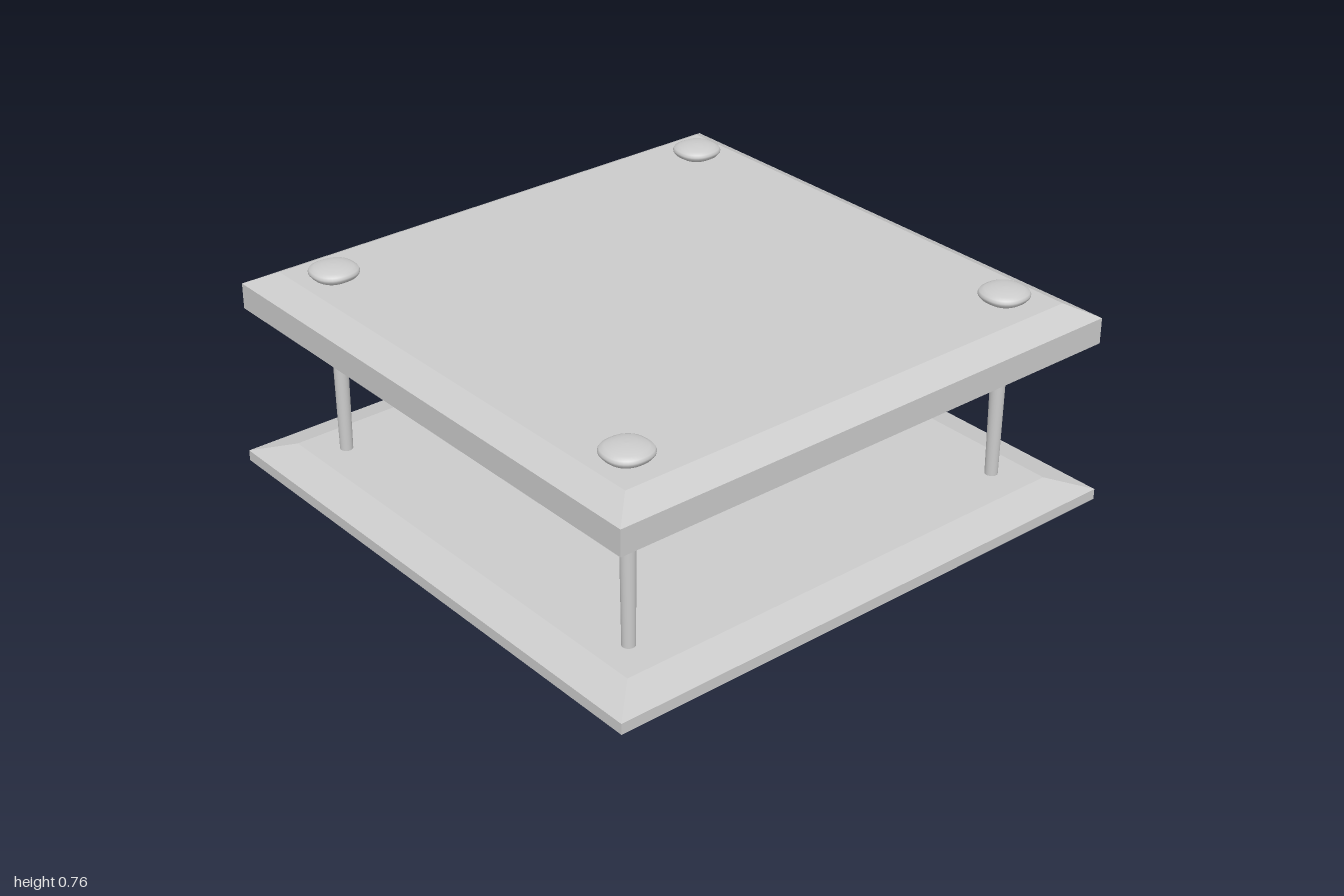
import * as THREE from 'three';

const smooth = new THREE.MeshStandardMaterial({ color: 0xcccccc });
const faceted = new THREE.MeshStandardMaterial({ color: 0xcccccc, flatShading: true });
const toPoints = (profile) => profile.map(([r, y]) => new THREE.Vector2(r, y));

// Square plate turned from a profile of [half width, height]
function plate(name, profile) {
  const points = toPoints(profile.map(([half, y]) => [half * Math.SQRT2, y]));
  const mesh = new THREE.Mesh(new THREE.LatheGeometry(points, 4, Math.PI / 4), faceted);
  mesh.name = name;
  return mesh;
}

// Domed cap with a slightly squared outline
function capGeometry() {
  const profile = [
    [0, 0.712], [0.058, 0.712], [0.071, 0.72], [0.079, 0.73], [0.08, 0.737],
    [0.076, 0.745], [0.062, 0.752], [0.04, 0.757], [0.02, 0.759], [0, 0.76],
  ];
  const geometry = new THREE.LatheGeometry(toPoints(profile), 40);
  const p = geometry.attributes.position;
  const n = 2.4;
  for (let i = 0; i < p.count; i++) {
    const x = p.getX(i), z = p.getZ(i), r = Math.hypot(x, z);
    if (r < 1e-6) continue;
    const k = 1 / Math.pow(Math.abs(x / r) ** n + Math.abs(z / r) ** n, 1 / n);
    p.setX(i, x * k);
    p.setZ(i, z * k);
  }
  return geometry;
}

export function createModel() {
  const model = new THREE.Group();
  model.name = 'twoTierPlatform';

  // Bevelled plates
  model.add(plate('basePlate', [[0, 0], [1, 0], [1, 0.038], [0.88, 0.074], [0, 0.074]]));
  model.add(plate('topPlate', [[0, 0.578], [0.98, 0.578], [0.98, 0.668], [0.89, 0.715], [0, 0.715]]));

  // Corner posts, each with a cap above the top plate
  const postGeometry = new THREE.CylinderGeometry(0.027, 0.022, 0.53, 24);
  const cap = capGeometry();
  for (const sx of [-1, 1]) {
    for (const sz of [-1, 1]) {
      const corner = new THREE.Group();
      corner.name = `${sz > 0 ? 'front' : 'back'}${sx > 0 ? 'Left' : 'Right'}Corner`;
      const post = new THREE.Mesh(postGeometry, smooth);
      post.name = 'post';
      post.position.y = 0.335;
      const capMesh = new THREE.Mesh(cap, smooth);
      capMesh.name = 'cap';
      corner.add(post, capMesh);
      corner.position.set(sx * 0.77, 0, sz * 0.75);
      model.add(corner);
    }
  }
  return model;
}
